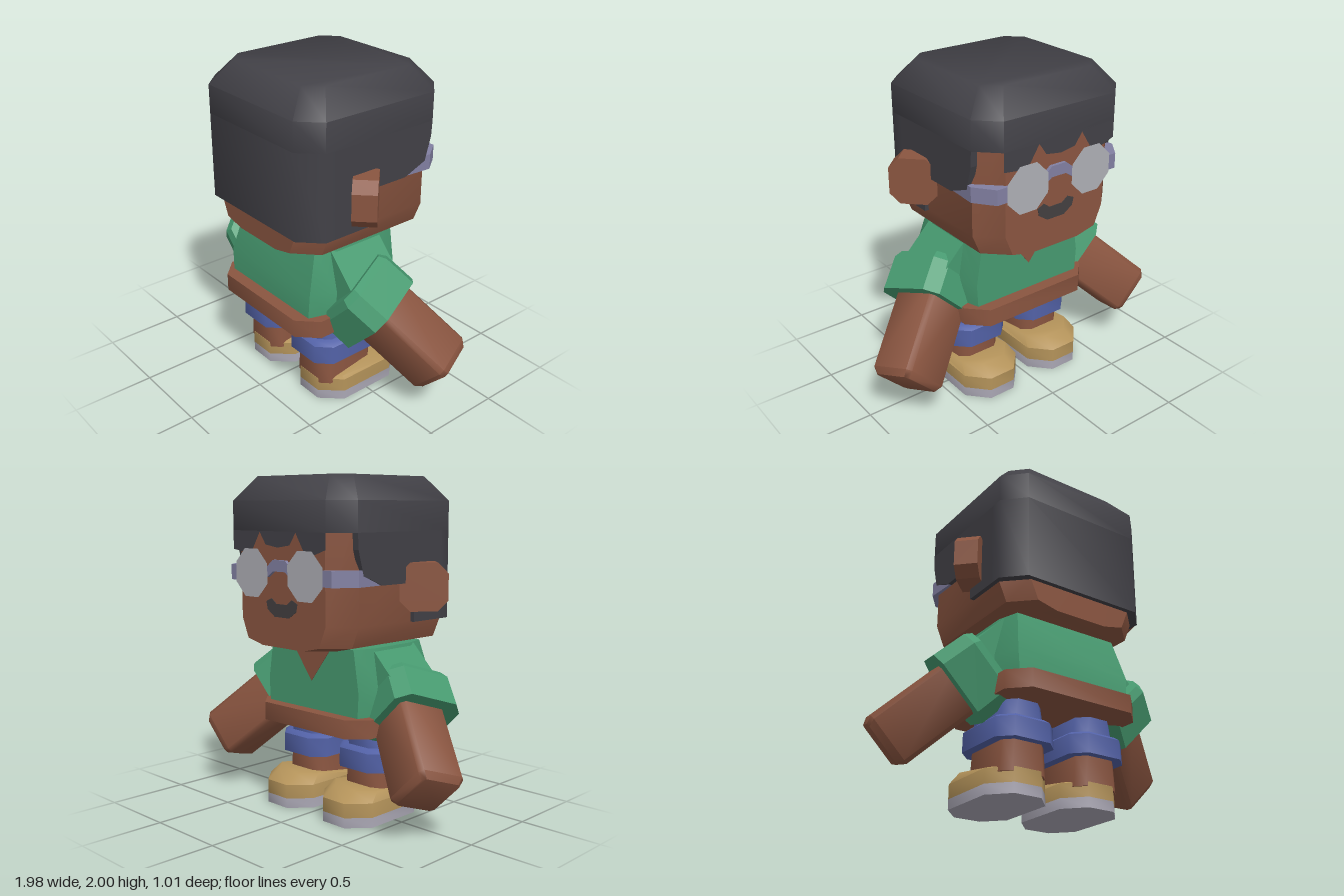
import * as THREE from 'three';
import { toCreasedNormals } from 'three/addons/utils/BufferGeometryUtils.js';

const mat = (name, color) => new THREE.MeshStandardMaterial({ name, color });
const V = (x, y, z) => new THREE.Vector3(x, y, z);

// Octagon in plan: half width hx, front zf, back zb, chamfers cx and cz
function octagon(y, hx, zf, zb, cx, cz = cx, x0 = 0) {
  return [[hx, zf + cz], [hx, zb - cz], [hx - cx, zb], [cx - hx, zb],
    [-hx, zb - cz], [-hx, zf + cz], [cx - hx, zf], [hx - cx, zf]].map(([x, z]) => V(x0 + x, y, z));
}

// Closed solid through rings of equal length, with fan caps; faces are turned outward
function loft(rings, crease = 0.3) {
  const tris = [], n = rings[0].length, last = rings.length - 1;
  for (let r = 0; r < last; r++) {
    for (let i = 0; i < n; i++) {
      const j = (i + 1) % n, a = rings[r], b = rings[r + 1];
      tris.push([a[i], a[j], b[j]], [a[i], b[j], b[i]]);
    }
  }
  for (let i = 1; i < n - 1; i++) {
    tris.push([rings[0][0], rings[0][i + 1], rings[0][i]]);
    tris.push([rings[last][0], rings[last][i], rings[last][i + 1]]);
  }
  let volume = 0;
  for (const [a, b, c] of tris) volume += a.dot(b.clone().cross(c));
  const pos = [];
  for (const [a, b, c] of tris) for (const p of volume < 0 ? [a, c, b] : [a, b, c]) pos.push(p.x, p.y, p.z);
  const g = new THREE.BufferGeometry();
  g.setAttribute('position', new THREE.Float32BufferAttribute(pos, 3));
  return toCreasedNormals(g, crease);
}

const outline = (points) => new THREE.Shape(points.map(([x, y]) => new THREE.Vector2(x, y)));
const extrude = (points, depth) => new THREE.ExtrudeGeometry(outline(points), { depth, bevelEnabled: false });

export function createModel() {
  const skin = mat('skin brown', 0x8a5540), hair = mat('hair charcoal', 0x424147);
  const shirt = mat('shirt green', 0x479a70), denim = mat('shorts blue', 0x5261a6);
  const tan = mat('shoe tan', 0xb4935a), sole = mat('sole pale grey', 0xaaa7b4);
  const frame = mat('glasses frame lavender', 0x8280a2), lens = mat('lens grey', 0xaeafb5);
  const dark = mat('mouth dark', 0x433f40);
  const model = new THREE.Group();
  model.name = 'figure';
  const add = (name, geometry, material) => {
    const m = new THREE.Mesh(geometry, material);
    m.name = name;
    model.add(m);
  };

  // Head: jaw edges cut away along both sides, narrowed at front and back
  const headRing = (z, w) => [[w, 1.85], [w, 1.18], [w - 0.05, 1.06], [w - 0.18, 1.03],
    [0.18 - w, 1.03], [0.05 - w, 1.06], [-w, 1.18], [-w, 1.85]].map(([x, y]) => V(x, y, z));
  add('head', loft([headRing(-0.475, 0.35), headRing(-0.35, 0.48), headRing(0.35, 0.48), headRing(0.475, 0.35)], 0.7), skin);

  // Hair: chamfered cap, back sheet and side locks
  add('hairCap', loft([
    octagon(1.69, 0.505, -0.505, 0.505, 0.12),
    octagon(1.86, 0.505, -0.505, 0.505, 0.12),
    octagon(2.0, 0.39, -0.39, 0.385, 0.09)], 1.0), hair);
  const backRing = (y) => [[0.505, 0.3], [0.505, 0.385], [0.385, 0.505], [-0.385, 0.505],
    [-0.505, 0.385], [-0.505, 0.3]].map(([x, z]) => V(x, y, z));
  add('hairBack', loft([backRing(1.175), backRing(1.69)], 1.0), hair);
  for (const x of [0.505, -0.465]) {
    const g = extrude([[0.32, 1.69], [-0.385, 1.69], [-0.38, 1.6], [-0.34, 1.46], [-0.19, 1.4],
      [0.08, 1.4], [0.08, 1.175], [0.32, 1.175]], 0.04);
    g.rotateY(-Math.PI / 2);
    add('hairSide', g.translate(x, 0, 0), hair);
  }
  // Fringe sheet flush with the front of the cap, with two notches
  const fringe = new THREE.ShapeGeometry(outline([[-0.385, 1.7], [-0.385, 1.58], [-0.3, 1.57], [-0.21, 1.59],
    [-0.15, 1.685], [-0.1, 1.615], [0, 1.6], [0.1, 1.615], [0.15, 1.685], [0.21, 1.59], [0.3, 1.57], [0.385, 1.6], [0.385, 1.7]]));
  add('fringe', fringe.rotateY(Math.PI).translate(0, 0, -0.505), hair);

  // Smile
  add('mouth', extrude([[-0.13, 1.29], [-0.085, 1.31], [-0.045, 1.28], [0.045, 1.28], [0.085, 1.31],
    [0.13, 1.29], [0.12, 1.245], [0.06, 1.205], [-0.06, 1.205], [-0.12, 1.245]], 0.004).translate(0, 0, -0.478), dark);

  // Glasses: flat lenses, temples wrapping the head, arched bridge
  for (const s of [1, -1]) {
    const disc = new THREE.CircleGeometry(0.15, 8);
    disc.rotateZ(Math.PI / 8).rotateY(Math.PI);
    add('lens', disc.translate(s * 0.223, 1.45, -0.508), lens);
    const arm = extrude([[0.488, 0.1], [0.507, -0.2 + 0.58], [0.42, 0.497], [0.28, 0.497], [0.28, 0.478],
      [0.35, 0.478], [0.478, 0.35], [0.478, 0.1]].map(([x, z]) => [s * x, z]), 0.09);
    arm.rotateX(-Math.PI / 2);
    add('temple', arm.translate(0, 1.4, 0), frame);
  }
  add('bridge', extrude([[-0.1, 1.43], [-0.05, 1.465], [0.05, 1.465], [0.1, 1.43], [0.1, 1.49],
    [0.05, 1.53], [-0.05, 1.53], [-0.1, 1.49]], 0.02).translate(0, 0, -0.497), frame);

  // Shirt body, shoulders, neckline and hem
  add('shirtBody', loft([
    octagon(0.6, 0.42, -0.245, 0.405, 0.05, 0.16),
    octagon(0.78, 0.43, -0.245, 0.4, 0.05, 0.16),
    octagon(1.03, 0.38, -0.245, 0.33, 0.04, 0.13)]), shirt);
  const yoke = (z) => [[0.37, 1.025], [0.56, 0.83], [0.37, 0.64], [-0.37, 0.64], [-0.56, 0.83], [-0.37, 1.025]]
    .map(([x, y]) => V(x, y, z));
  add('shoulders', loft([yoke(-0.12), yoke(0.24)]), shirt);
  add('neckline', extrude([[-0.17, 1.03], [0, 0.81], [0.17, 1.03]], 0.004).translate(0, 0, -0.248), skin);
  add('hem', loft([0.53, 0.64].map((y) => octagon(y, 0.447, -0.32, 0.48, 0.11)), 0.9), skin);

  for (const s of [1, -1]) {
    // Arm reaching outward, down and forward; t is the distance back from the hand
    const axis = V(0.643, -0.643, -0.418), u = V(0.707, 0.707, 0), v = V(0.296, -0.296, 0.909);
    const limb = (t, hu, hv, c, dv = 0) => octagon(0, hu, dv - hv, dv + hv, c).map((p) => {
      const q = V(0.865, 0.3, -0.213).addScaledVector(axis, -t).addScaledVector(u, p.x).addScaledVector(v, p.z);
      q.x *= s;
      return q;
    });
    add('arm', loft([limb(0.6, 0.16, 0.15, 0.025), limb(0.04, 0.16, 0.15, 0.025), limb(0, 0.135, 0.125, 0.02)], 0.9), skin);
    add('sleeve', loft([limb(0.74, 0.2, 0.2, 0.06, 0.02), limb(0.695, 0.222, 0.225, 0.07, 0.025),
      limb(0.49, 0.226, 0.225, 0.07, 0.025)]), shirt);

    // Ear: octagonal slab turned to flare outward toward the back
    const ear = (t) => octagon(0, 0.138, -0.138, 0.138, 0.06)
      .map((p) => V(s * (0.578 + 0.707 * (p.x - t)), 1.378 + p.z, 0.078 + 0.707 * (p.x + t)));
    add('ear', loft([ear(0), ear(0.138)]), skin);

    // Leg: shorts, rolled cuff and bare shin
    const x0 = s * 0.245;
    add('shorts', loft([octagon(0.4, 0.145, -0.1, 0.3, 0.06, 0.06, x0), octagon(0.55, 0.12, -0.1, 0.3, 0.06, 0.06, x0)], 0.9), denim);
    add('cuff', loft([octagon(0.295, 0.192, -0.145, 0.348, 0.08, 0.08, x0),
      octagon(0.41, 0.19, -0.145, 0.345, 0.08, 0.08, x0),
      octagon(0.43, 0.165, -0.12, 0.32, 0.07, 0.07, x0)], 0.82), denim);
    add('shin', loft([octagon(0.12, 0.148, -0.1, 0.3, 0.05, 0.05, x0), octagon(0.32, 0.135, -0.1, 0.3, 0.05, 0.05, x0)], 0.9), skin);

    // Shoe: sole and upper with a raised instep
    add('sole', loft([0, 0.06].map((y) => octagon(y, 0.196, -0.31, 0.302, 0.11, 0.12, x0)), 0.9), sole);
    const top = octagon(0.15, 0.17, -0.22, 0.28, 0.09, 0.1, x0);
    for (const p of top) p.y = p.z < -0.1 ? 0.2 : 0.155;
    add('shoe', loft([octagon(0.06, 0.196, -0.31, 0.302, 0.11, 0.12, x0),
      octagon(0.145, 0.196, -0.31, 0.302, 0.11, 0.12, x0), top], 0.85), tan);
  }
  return model;
}
